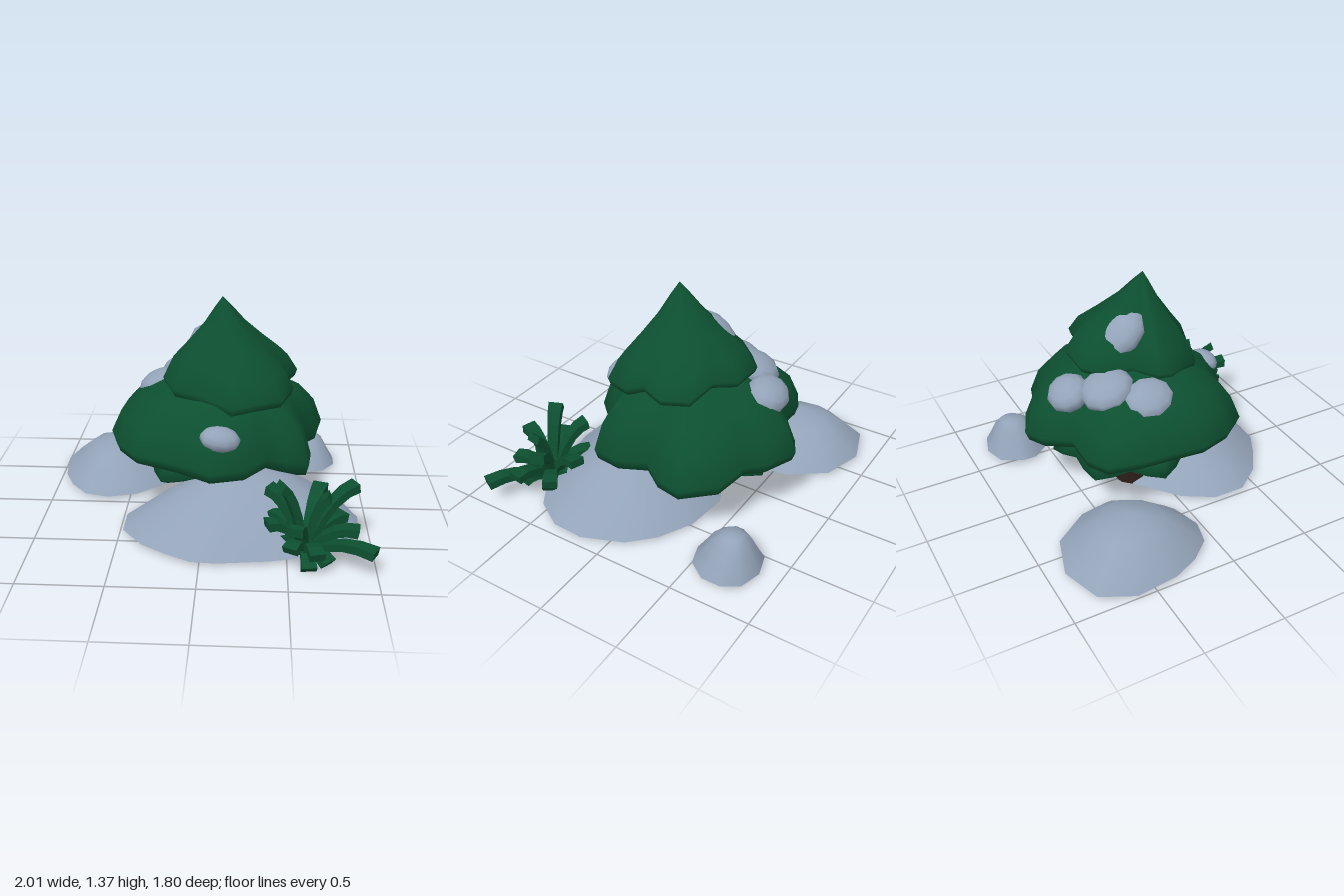
import * as THREE from 'three';
import { mergeVertices } from 'three/addons/utils/BufferGeometryUtils.js';

const paint = (color) => new THREE.MeshStandardMaterial({ color, side: THREE.DoubleSide });

// Shell lofted from an outline [x, z, rimY] towards an apex; profile = [spread, height] pairs
function loft(outline, apex, profile) {
  const n = outline.length, pos = [], idx = [];
  for (const [s, t] of profile) {
    for (const [x, z, y] of outline) {
      pos.push(
        THREE.MathUtils.lerp(apex[0], x, s),
        THREE.MathUtils.lerp(y, apex[1], t),
        THREE.MathUtils.lerp(apex[2], z, s));
    }
  }
  for (let i = 0; i < profile.length - 1; i++) {
    for (let j = 0; j < n; j++) {
      const k = (j + 1) % n, a = i * n + j, b = i * n + k, c = a + n, d = b + n;
      idx.push(a, c, b, b, c, d);
    }
  }
  const raw = new THREE.BufferGeometry();
  raw.setAttribute('position', new THREE.Float32BufferAttribute(pos, 3));
  raw.setIndex(idx);
  const geo = mergeVertices(raw, 1e-4);
  geo.computeVertexNormals();
  return geo;
}

// Arching leaf with a rectangular section that widens to a blunt tip
function blade(base, tip) {
  const a = new THREE.Vector3(...base), b = new THREE.Vector3(...tip);
  const mid = a.clone().lerp(b, 0.4);
  mid.y = 0.1 + 0.68 * b.y;
  const curve = new THREE.QuadraticBezierCurve3(a, mid, b);
  const side = new THREE.Vector3(b.z - a.z, 0, a.x - b.x).normalize();
  const pos = [], idx = [], steps = 5;
  for (let i = 0; i <= steps; i++) {
    const t = i / steps, p = curve.getPoint(t);
    const up = curve.getTangent(t).cross(side).normalize();
    const w = 0.025 + 0.02 * t, h = 0.02 + 0.006 * t;
    for (const [u, v] of [[-1, -1], [1, -1], [1, 1], [-1, 1]]) {
      const q = p.clone().addScaledVector(side, u * w).addScaledVector(up, v * h);
      pos.push(q.x, q.y, q.z);
    }
    if (i === steps) continue;
    for (let j = 0; j < 4; j++) {
      const k = (j + 1) % 4, o = i * 4;
      idx.push(o + j, o + k, o + 4 + j, o + k, o + 4 + k, o + 4 + j);
    }
  }
  const e = steps * 4;
  idx.push(e, e + 1, e + 2, e, e + 2, e + 3);
  const geo = new THREE.BufferGeometry();
  geo.setAttribute('position', new THREE.Float32BufferAttribute(pos, 3));
  geo.setIndex(idx);
  const flat = geo.toNonIndexed();
  flat.computeVertexNormals();
  return flat;
}

export function createModel() {
  const model = new THREE.Group();
  const green = paint(0x0d4f30), snow = paint(0x93a3b8), bark = paint(0x2b1f17);
  const add = (name, geo, mat, parent = model) => {
    const mesh = new THREE.Mesh(geo, mat);
    mesh.name = name;
    parent.add(mesh);
    return mesh;
  };

  // Snow mounds: open shells on the ground
  const ground = (pts) => pts.map(([x, z]) => [x, z, 0.025]);
  add('largeSnowMound', loft(ground([
    [0.23, -0.37], [0.5, -0.34], [0.71, -0.23], [0.85, -0.09], [0.95, 0.16], [0.94, 0.36], [0.83, 0.54],
    [0.64, 0.66], [0.4, 0.72], [0.1, 0.76], [-0.05, 0.75], [-0.2, 0.67], [-0.35, 0.57], [-0.48, 0.4],
    [-0.48, 0.2], [-0.37, 0.02], [-0.18, -0.14], [0.02, -0.28]]), [0.27, 0.357, 0.2],
    [[1, 0], [0.8, 0.31], [0.6, 0.59], [0.42, 0.81], [0.28, 0.93], [0.14, 0.985], [0, 1]]), snow);
  add('leftSnowMound', loft(ground([
    [-0.65, -0.9], [-0.39, -0.82], [-0.23, -0.6], [-0.2, -0.42], [-0.3, -0.22], [-0.46, -0.08],
    [-0.64, -0.03], [-0.79, -0.07], [-0.9, -0.2], [-0.97, -0.36], [-1, -0.62], [-0.9, -0.82]]),
    [-0.63, 0.28, -0.47], [[1, 0], [0.75, 0.38], [0.45, 0.76], [0, 1]]), snow);
  add('smallSnowMound', loft(ground([
    [0.66, -0.88], [0.8, -0.84], [0.86, -0.74], [0.86, -0.62], [0.78, -0.51], [0.65, -0.47],
    [0.53, -0.52], [0.45, -0.62], [0.45, -0.71], [0.52, -0.84]]),
    [0.66, 0.242, -0.71], [[1, 0], [0.8, 0.32], [0.55, 0.76], [0.3, 0.96], [0, 1]]), snow);

  // Tree: trunk and three drooping tiers
  const tree = new THREE.Group();
  tree.name = 'tree';
  model.add(tree);
  const trunk = add('trunk', new THREE.CylinderGeometry(0.135, 0.135, 0.48, 12), bark, tree);
  trunk.position.set(0.01, 0.26, -0.125);

  const scallops = [];
  for (let i = 0; i < 28; i++) {
    const a = (i / 28) * Math.PI * 2, lobe = Math.cos(7 * a - Math.PI);
    const r = 0.45 + 0.035 * lobe;
    scallops.push([0.04 + r * Math.cos(a), -0.14 + r * Math.sin(a), 0.32 - 0.02 * lobe]);
  }
  add('lowerTier', loft(scallops, [0.05, 0.62, -0.13],
    [[0, 0], [0.5, 0.02], [0.88, -0.17], [1, -0.08], [0.96, 0.2], [0.8, 0.5], [0.5, 0.75], [0, 1]]), green, tree);

  add('middleTier', loft([
    [0.11, -0.8, 0.49], [0.3, -0.72, 0.49], [0.4, -0.63, 0.5], [0.59, -0.57, 0.46], [0.74, -0.39, 0.45],
    [0.71, -0.23, 0.45], [0.62, -0.1, 0.46], [0.65, 0.1, 0.42], [0.63, 0.27, 0.42], [0.5, 0.3, 0.45],
    [0.38, 0.35, 0.49], [0.25, 0.48, 0.47], [0.05, 0.54, 0.47], [-0.15, 0.45, 0.49], [-0.4, 0.4, 0.52],
    [-0.52, 0.25, 0.53], [-0.58, 0.05, 0.53], [-0.56, -0.15, 0.53], [-0.53, -0.35, 0.52],
    [-0.46, -0.53, 0.5], [-0.33, -0.6, 0.5], [-0.13, -0.6, 0.51], [0, -0.74, 0.49]], [0.1, 0.95, -0.08],
    [[0, 0], [0.55, 0], [0.87, -0.16], [0.97, -0.13], [1, 0], [0.91, 0.32], [0.75, 0.56], [0.5, 0.76], [0, 1]]),
    green, tree);

  add('upperTier', loft([
    [0, -0.47, 0.91], [0.22, -0.47, 0.92], [0.32, -0.36, 0.93], [0.5, -0.32, 0.89], [0.56, -0.16, 0.88],
    [0.49, 0, 0.88], [0.53, 0.1, 0.85], [0.46, 0.27, 0.83], [0.32, 0.31, 0.82], [0.17, 0.35, 0.8],
    [-0.02, 0.25, 0.84], [-0.18, 0.21, 0.86], [-0.26, 0, 0.87], [-0.25, -0.08, 0.88],
    [-0.13, -0.2, 0.9], [-0.12, -0.37, 0.9]], [0.1, 1.38, 0],
    [[0, 0], [0.5, -0.02], [0.88, -0.11], [0.97, -0.08], [1, 0], [0.86, 0.21], [0.6, 0.42], [0.31, 0.67],
      [0.12, 0.88], [0, 1]]), green, tree);

  // Snow clumps resting on the tiers: centre, radii, tilt about x and z
  const clumps = [
    [0.105, 0.65, 0.435, 0.12, 0.07, 0.085, 0.3, -0.15],
    [-0.295, 0.77, -0.175, 0.14, 0.085, 0.16, -0.1, 0.4],
    [-0.145, 0.81, -0.37, 0.155, 0.09, 0.165, -0.3, 0.2],
    [0.005, 0.755, -0.55, 0.145, 0.09, 0.13, -0.45, 0],
    [0.025, 1.05, -0.19, 0.145, 0.1, 0.175, -0.7, 0.2],
  ];
  for (const [x, y, z, rx, ry, rz, tx, tz] of clumps) {
    const clump = add('snowClump', new THREE.SphereGeometry(1, 10, 7), snow, tree);
    clump.position.set(x, y, z);
    clump.scale.set(rx, ry, rz);
    clump.rotation.set(tx, 0, tz);
  }

  // Grass tuft: blades fanning out from one root
  const tuft = new THREE.Group();
  tuft.name = 'grassTuft';
  model.add(tuft);
  const tips = [
    [0.45, 0.49, 0.7], [0.89, 0.41, 0.5], [0.98, 0.16, 0.84], [0.7, 0.33, 0.35], [0.39, 0.39, 0.52],
    [0.9, 0.21, 0.68], [0.53, 0.3, 0.88], [0.66, 0.15, 0.88], [0.62, 0.03, 0.81], [0.38, 0.26, 0.72],
    [0.73, 0.41, 0.66], [0.42, 0.21, 0.48], [0.73, 0.05, 0.77], [0.83, 0.2, 0.47], [0.51, 0.14, 0.8],
    [0.46, 0.08, 0.55], [0.58, 0.1, 0.47], [0.76, 0.09, 0.54],
  ];
  for (const tip of tips) add('grassBlade', blade([0.6, 0.02, 0.64], tip), green, tuft);

  return model;
}
